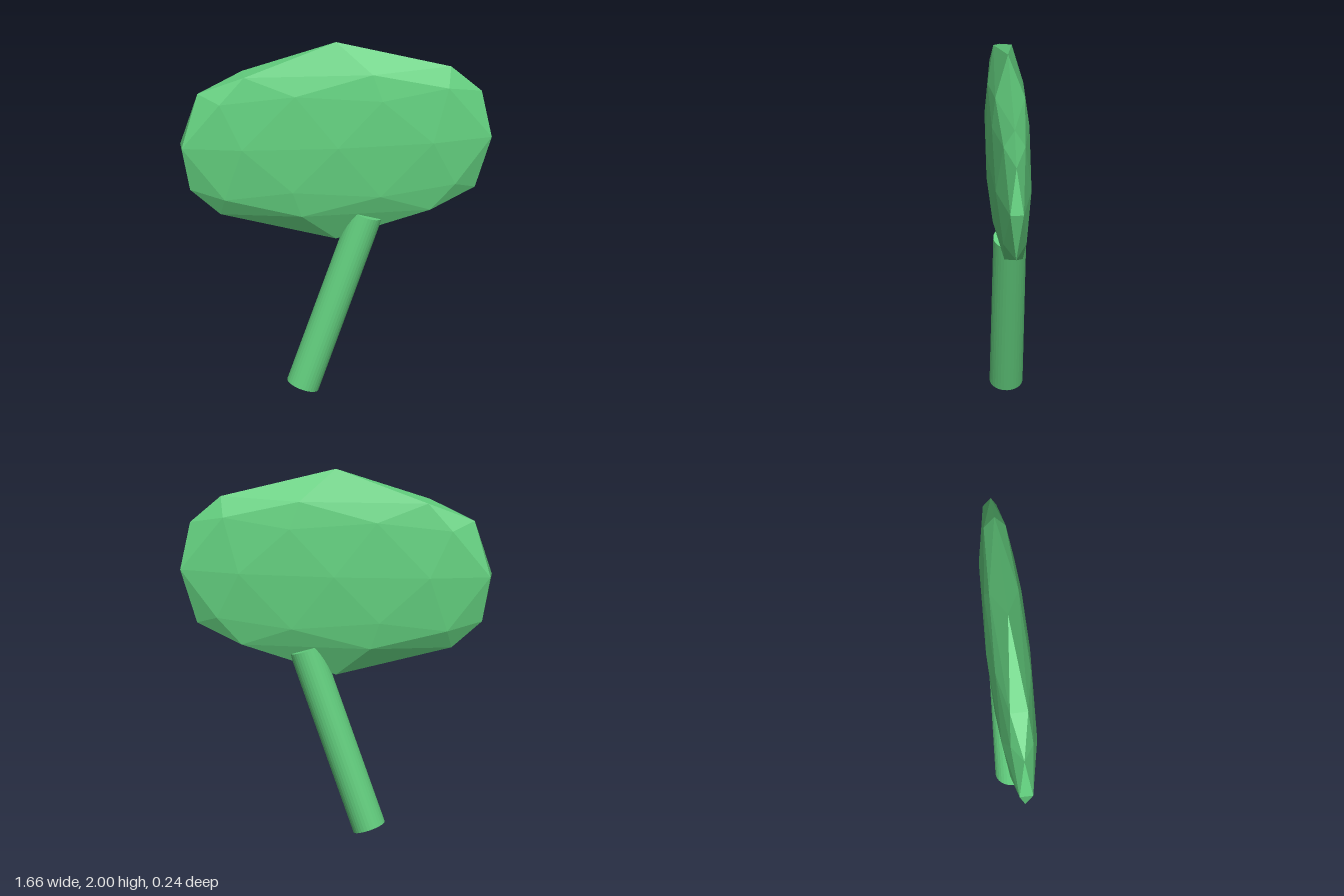
import * as THREE from 'three';

// Subdivided icosahedron with its poles on the y axis, squashed into a flat oval
function crownGeometry() {
  const points = [0, 1, 0];
  for (const [y, turn] of [[1, 0], [-1, Math.PI / 5]]) {
    for (let i = 0; i < 5; i++) {
      const a = turn + (i * Math.PI * 2) / 5;
      points.push(2 * Math.cos(a), y, 2 * Math.sin(a));
    }
  }
  points.push(0, -1, 0);

  const faces = [];
  for (let i = 0; i < 5; i++) {
    const u = 1 + i, un = 1 + ((i + 1) % 5); // upper ring
    const l = 6 + i, ln = 6 + ((i + 1) % 5); // lower ring
    faces.push(0, un, u, u, un, l, un, ln, l, 11, l, ln);
  }
  const geometry = new THREE.PolyhedronGeometry(points, faces, 1, 1);
  geometry.scale(0.872, 0.568, 0.118);
  geometry.computeVertexNormals();
  return geometry;
}

export function createModel() {
  const group = new THREE.Group();
  group.name = 'tree';

  const green = new THREE.MeshStandardMaterial({ color: 0x63d07f, flatShading: true });
  green.name = 'leaf green';

  // Flat oval crown
  const crown = new THREE.Mesh(crownGeometry(), green);
  crown.name = 'crown';
  crown.position.y = 1.432;
  group.add(crown);

  // Leaning trunk, its top sunk into the crown
  const trunk = new THREE.Mesh(new THREE.CylinderGeometry(0.088, 0.088, 1.036, 32), green);
  trunk.name = 'trunk';
  trunk.position.set(-0.007, 0.518, 0);
  trunk.rotation.z = -0.335;
  group.add(trunk);

  return group;
}
